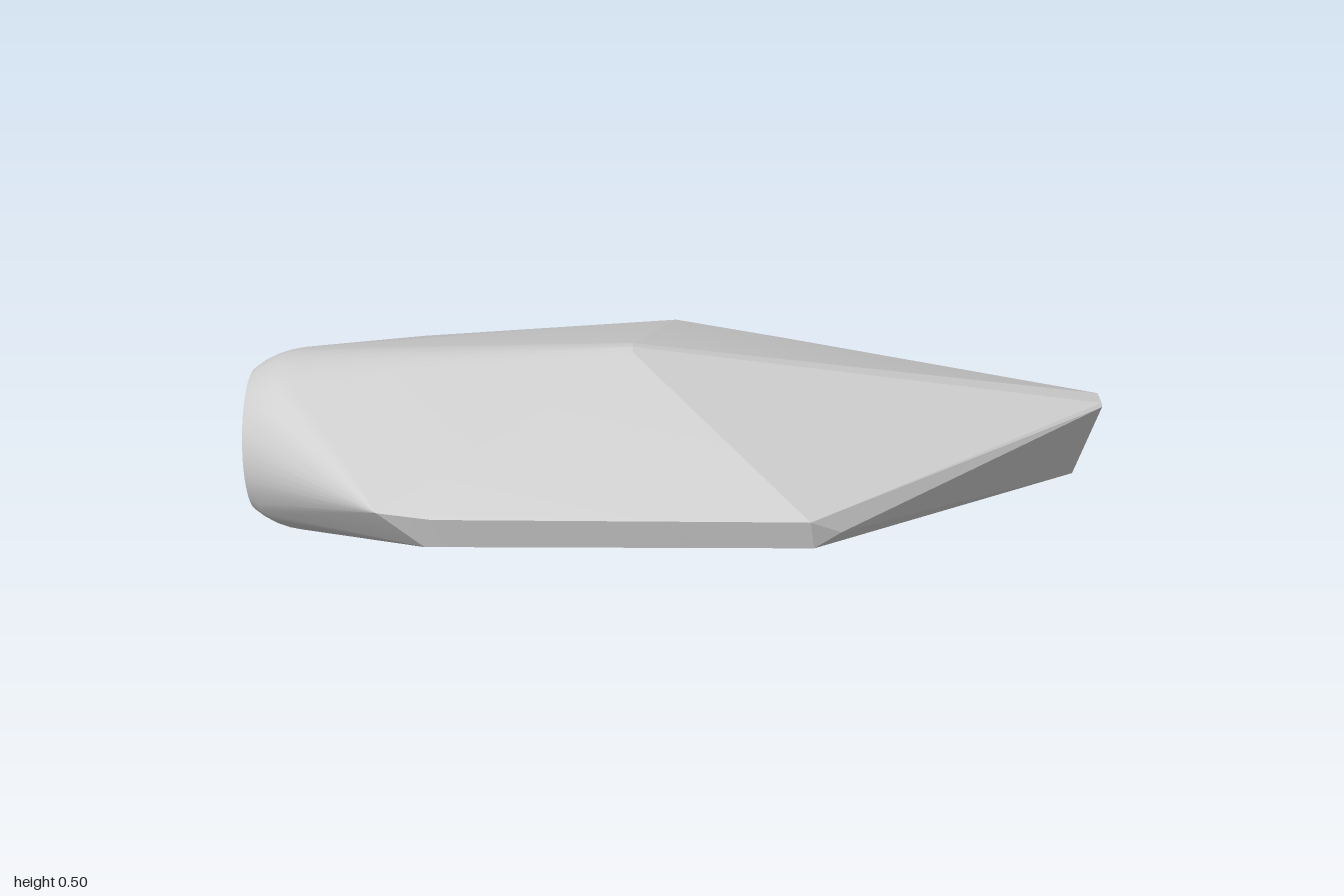
import * as THREE from 'three';
import { ConvexGeometry } from 'three/addons/geometries/ConvexGeometry.js';
import { toCreasedNormals } from 'three/addons/utils/BufferGeometryUtils.js';

export function createModel() {
  const group = new THREE.Group();
  group.name = 'facetedHull';
  const lightGrey = new THREE.MeshStandardMaterial({ color: 0xcccccc });
  lightGrey.name = 'lightGrey';

  const points = [];
  const add = (x, y, z) => points.push(new THREE.Vector3(x, y, z));
  const addPair = (x, y, z) => { add(x, y, z); add(x, y, -z); };

  // Rounded tail: rings of a sphere, cut flat at x = -1
  const radius = 0.22, centreX = -0.86, segments = 40;
  for (const x of [-1, -0.975, -0.945, -0.915, -0.885, -0.86, -0.83, -0.8]) {
    const r = Math.sqrt(radius ** 2 - (x - centreX) ** 2);
    for (let i = 0; i < segments; i++) {
      const a = (i / segments) * Math.PI * 2;
      add(x, 0.222 + r * Math.cos(a), r * Math.sin(a));
    }
  }

  // Side edges with bevelled corners
  addPair(-0.65, 0.28, 0.465);
  addPair(-0.53, 0.27, 0.477);
  addPair(-0.55, 0.197, 0.468);
  addPair(0.29, 0.265, 0.48);
  addPair(0.3, 0.197, 0.474);
  addPair(0.36, 0.225, 0.453);

  // Narrow nose
  addPair(1, 0.322, 0.034);
  addPair(1, 0.329, 0.026);
  addPair(0.95, 0.135, 0.014);
  addPair(0.948, 0.131, 0.006);

  // Off-centre top peak and rear shoulder
  add(-0.1, 0.491, 0.092);
  add(-0.1, 0.497, 0.075);
  add(-0.1, 0.496, 0.052);
  add(0, 0.36, -0.387);

  // Keel
  add(0.42, 0.079, 0);
  addPair(0.03, 0.06, 0.12);

  const hull = new THREE.Mesh(toCreasedNormals(new ConvexGeometry(points), 0.2), lightGrey);
  hull.name = 'hull';
  group.add(hull);
  return group;
}
